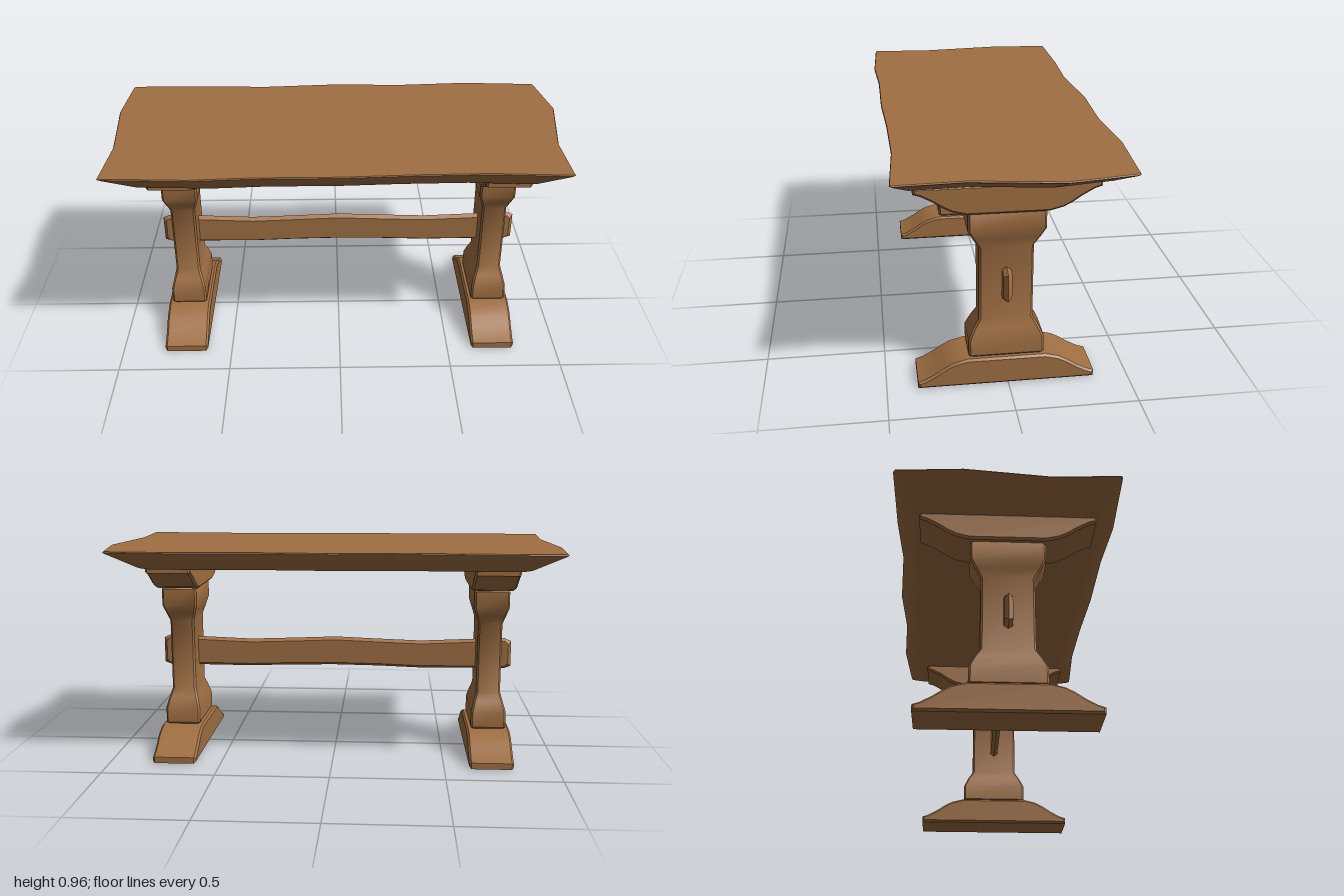
import * as THREE from 'three';
import { toCreasedNormals } from 'three/addons/utils/BufferGeometryUtils.js';

const wood = new THREE.MeshStandardMaterial({ color: 0xa06f43 });
wood.name = 'brown wood';

// Skin a list of rings (counterclockwise about the direction of travel) and cap both ends
function loft(rings) {
  const out = [];
  const tri = (...pts) => pts.forEach((p) => out.push(p.x, p.y, p.z));
  const n = rings[0].length;
  for (let r = 0; r < rings.length - 1; r++) {
    const a = rings[r], b = rings[r + 1];
    for (let i = 0; i < n; i++) {
      const j = (i + 1) % n;
      tri(a[i], a[j], b[j]);
      tri(a[i], b[j], b[i]);
    }
  }
  const first = rings[0], last = rings[rings.length - 1];
  const middle = (ring) => ring[0].clone().lerp(ring[n / 2], 0.5);
  for (let i = 0; i < n; i++) {
    const j = (i + 1) % n;
    tri(middle(first), first[j], first[i]);
    tri(middle(last), last[i], last[j]);
  }
  const geo = new THREE.BufferGeometry();
  geo.setAttribute('position', new THREE.Float32BufferAttribute(out, 3));
  return toCreasedNormals(geo, 0.6);
}

function part(name, geometry) {
  const mesh = new THREE.Mesh(geometry, wood);
  mesh.name = name;
  return mesh;
}

// Wavy plank top, undercut towards the bottom
function tabletop() {
  const outline = [
    [1, -0.18], [0.957, -0.455], [0.945, -0.46], [0.62, -0.48], [0.3, -0.46], [0, -0.472],
    [-0.35, -0.448], [-0.62, -0.46], [-0.97, -0.46], [-0.982, -0.453], [-1, -0.18],
    [-0.965, 0.18], [-0.982, 0.455], [-0.97, 0.46], [-0.62, 0.475], [-0.35, 0.46],
    [0, 0.46], [0.3, 0.446], [0.62, 0.44], [0.945, 0.46], [0.955, 0.453], [0.945, 0.18],
  ];
  const levels = [[0.88, 0.83, 0.825], [0.886, 0.86, 0.855], [0.952, 0.99, 0.99], [0.958, 1, 1], [0.963, 0.997, 0.995]];
  return loft(levels.map(([y, sx, sz]) => outline.map(([x, z]) => new THREE.Vector3(x * sx, y, z * sz))));
}

// Scrolled foot, also used upside down under the top
function foot() {
  const half = [[0.365, 0], [0.365, 0.028], [0.335, 0.038], [0.29, 0.063], [0.25, 0.09], [0.215, 0.108], [0.16, 0.122]];
  const points = [...half, ...half.map(([z, y]) => [-z, y]).reverse()];
  const bevel = 0.009;
  const geo = new THREE.ExtrudeGeometry(new THREE.Shape(points.map(([z, y]) => new THREE.Vector2(z, y))), {
    depth: 0.196 - 2 * bevel, bevelThickness: bevel, bevelSize: bevel, bevelOffset: -bevel, bevelSegments: 1,
  });
  geo.translate(0, 0, bevel - 0.098);
  geo.rotateY(Math.PI / 2);
  return toCreasedNormals(geo, 0.5);
}

// Waisted post with chamfered corners
function post() {
  const c = 0.008;
  const levels = [
    [0.115, 0.068, 0.142], [0.13, 0.079, 0.155], [0.2, 0.079, 0.155], [0.245, 0.067, 0.134],
    [0.285, 0.055, 0.11], [0.605, 0.055, 0.11], [0.645, 0.067, 0.134], [0.685, 0.079, 0.155],
    [0.758, 0.079, 0.155], [0.775, 0.068, 0.142],
  ];
  return loft(levels.map(([y, w, d]) => [
    [w, d - c], [w - c, d], [c - w, d], [-w, d - c], [-w, c - d], [c - w, -d], [w - c, -d], [w, c - d],
  ].map(([x, z]) => new THREE.Vector3(x, y, -z))));
}

// Wavy rail with ridged edges and ridged ends
function stretcher() {
  const h = 0.018, e = 0.013;
  const stations = [
    [-0.805, 0.504, 0.386, -0.015], [-0.79, 0.518, 0.374, 0], [-0.66, 0.514, 0.374, 0], [-0.4, 0.502, 0.372, 0],
    [-0.2, 0.509, 0.379, 0], [0, 0.517, 0.382, 0], [0.2, 0.509, 0.379, 0], [0.4, 0.502, 0.372, 0],
    [0.66, 0.512, 0.374, 0], [0.79, 0.518, 0.374, 0], [0.805, 0.504, 0.386, 0.015],
  ];
  return loft(stations.map(([x, top, bottom, ridge]) => [
    [ridge, top, 0], [0, top - e, h], [0, bottom + e, h],
    [ridge, bottom, 0], [0, bottom + e, -h], [0, top - e, -h],
  ].map(([dx, y, z]) => new THREE.Vector3(x + dx, y, z))));
}

export function createModel() {
  const table = new THREE.Group();
  table.name = 'trestleTable';
  table.add(part('tabletop', tabletop()));

  const base = new THREE.Group();
  base.name = 'base';
  base.position.z = 0.007;
  table.add(base);

  const footGeo = foot(), postGeo = post();
  for (const [side, x] of [['left', 0.709], ['right', -0.709]]) {
    const trestle = new THREE.Group();
    trestle.name = side + 'Trestle';
    trestle.position.x = x;
    const bearer = part('bearer', footGeo);
    bearer.rotation.x = Math.PI;
    bearer.position.y = 0.887;
    trestle.add(part('foot', footGeo), part('post', postGeo), bearer);
    base.add(trestle);
  }
  base.add(part('stretcher', stretcher()));
  return table;
}
